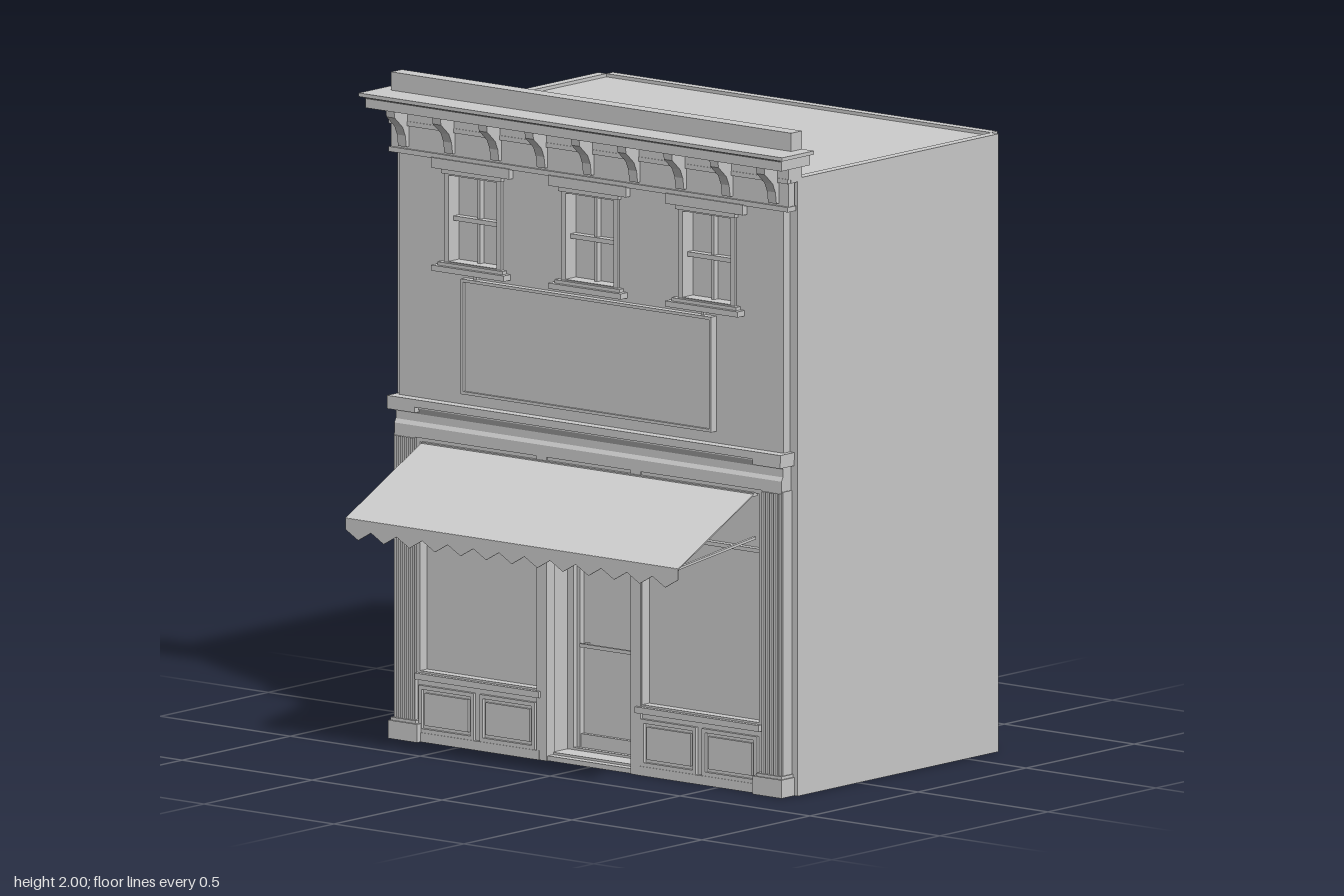
import * as THREE from 'three';

export function createModel() {
  const root = new THREE.Group();
  root.name = 'shopBuilding';
  const grey = new THREE.MeshStandardMaterial({ color: 0xcccccc });
  grey.name = 'plain grey';
  const greyCloth = new THREE.MeshStandardMaterial({ color: 0xcccccc, side: THREE.DoubleSide });
  greyCloth.name = 'plain grey cloth';

  const add = (name, geo, mat = grey) => {
    const m = new THREE.Mesh(geo, mat);
    m.name = name;
    root.add(m);
    return m;
  };
  // Box given by its limits on each axis
  const box = (name, x0, x1, y0, y1, z0, z1) => {
    const g = new THREE.BoxGeometry(x1 - x0, y1 - y0, z1 - z0);
    g.translate((x0 + x1) / 2, (y0 + y1) / 2, (z0 + z1) / 2);
    return add(name, g);
  };
  // Same box on both sides of the model
  const pair = (name, x0, x1, ...r) => {
    box(name + 'Left', x0, x1, ...r);
    box(name + 'Right', -x1, -x0, ...r);
  };
  const rect = (P, x0, x1, y0, y1) => {
    const p = new P();
    p.moveTo(x0, y0); p.lineTo(x1, y0); p.lineTo(x1, y1); p.lineTo(x0, y1); p.closePath();
    return p;
  };
  // Picture-frame shape extruded from z0 to z1
  const frame = (name, x0, x1, y0, y1, t, z0, z1) => {
    const s = rect(THREE.Shape, x0, x1, y0, y1);
    s.holes.push(rect(THREE.Path, x0 + t, x1 - t, y0 + t, y1 - t));
    const g = new THREE.ExtrudeGeometry(s, { depth: z1 - z0, bevelEnabled: false });
    g.translate(0, 0, z0);
    return add(name, g);
  };
  // Profile of [z, y] points swept along x, centred on x
  const sweep = (name, pts, x, width) => {
    const s = new THREE.Shape(pts.map(([z, y]) => new THREE.Vector2(-z, y)));
    const g = new THREE.ExtrudeGeometry(s, { depth: width, bevelEnabled: false });
    g.rotateY(Math.PI / 2);
    g.translate(x - width / 2, 0, 0);
    return add(name, g);
  };

  // Main shell
  pair('sideWall', 0.74, 0.77, 0, 1.86, -0.65, 0.28);
  box('backWall', -0.74, 0.74, 0, 1.86, -0.68, -0.65);
  box('roof', -0.74, 0.74, 1.83, 1.85, -0.65, 0.27);
  box('floor', -0.74, 0.74, 0.012, 0.022, -0.65, 0.29);

  // Front wall with openings for the windows and the shopfront
  const windowX = [-0.45, 0, 0.45];
  const wall = new THREE.Shape();
  [[-0.74, 0], [-0.66, 0], [-0.66, 0.92], [0.66, 0.92], [0.66, 0], [0.74, 0], [0.74, 1.87], [-0.74, 1.87]]
    .forEach(([x, y], i) => (i ? wall.lineTo(x, y) : wall.moveTo(x, y)));
  windowX.forEach((x) => wall.holes.push(rect(THREE.Path, x - 0.11, x + 0.11, 1.44, 1.735)));
  const wallGeo = new THREE.ExtrudeGeometry(wall, { depth: 0.05, bevelEnabled: false });
  wallGeo.translate(0, 0, 0.26);
  add('frontWall', wallGeo);
  box('parapet', -0.77, 0.77, 1.85, 2, 0.26, 0.31);

  // Upper windows
  windowX.forEach((x) => {
    box('windowGlass', x - 0.11, x + 0.11, 1.44, 1.735, 0.262, 0.27);
    frame('windowFrame', x - 0.11, x + 0.11, 1.44, 1.735, 0.018, 0.27, 0.318);
    box('windowMullion', x - 0.005, x + 0.005, 1.455, 1.72, 0.27, 0.288);
    box('windowRail', x - 0.093, x + 0.093, 1.578, 1.592, 0.27, 0.295);
    box('windowSill', x - 0.14, x + 0.14, 1.428, 1.445, 0.3, 0.342);
    box('windowSillApron', x - 0.125, x + 0.125, 1.445, 1.455, 0.3, 0.33);
    box('windowLintel', x - 0.15, x + 0.15, 1.735, 1.766, 0.3, 0.33);
    box('windowLintelLower', x - 0.115, x + 0.115, 1.722, 1.735, 0.3, 0.325);
  });

  // Top cornice with brackets
  box('corniceBand', -0.765, 0.765, 1.775, 1.85, 0.29, 0.316);
  box('corniceBandLowerTrim', -0.768, 0.768, 1.763, 1.778, 0.285, 0.324);
  box('corniceBandUpperTrim', -0.768, 0.768, 1.848, 1.862, 0.285, 0.324);
  box('corniceSoffit', -0.77, 0.77, 1.86, 1.902, 0.28, 0.322);
  sweep('corniceSlab', [[0.26, 1.9], [0.392, 1.9], [0.392, 1.928], [0.405, 1.936],
    [0.405, 1.945], [0.26, 1.945]], 0, 1.6);
  box('corniceCap', -0.815, 0.815, 1.934, 1.945, 0.259, 0.406);
  for (let i = -4; i <= 4; i++) {
    sweep('corniceBracket', [[0.31, 1.785], [0.328, 1.785], [0.333, 1.82], [0.345, 1.847],
      [0.366, 1.866], [0.382, 1.88], [0.385, 1.901], [0.31, 1.901]], i * 0.178, 0.032);
  }

  // Sign board and its hooks
  box('signBoard', -0.475, 0.475, 1.075, 1.41, 0.31, 0.326);
  frame('signBoardRim', -0.482, 0.482, 1.068, 1.415, 0.009, 0.308, 0.334);
  pair('signHook', 0.432, 0.442, 1.41, 1.424, 0.3, 0.322);

  // Shopfront fascia and ledge
  sweep('fascia', [[0.28, 0.915], [0.325, 0.915], [0.325, 0.95], [0.318, 0.962], [0.318, 0.985],
    [0.328, 1.003], [0.328, 1.012], [0.28, 1.012]], 0, 1.49);
  box('fasciaLedge', -0.757, 0.757, 1.01, 1.033, 0.28, 0.345);
  pair('fasciaEndBlock', 0.65, 0.756, 0.993, 1.012, 0.28, 0.345);

  // Fluted pilasters
  pair('pilaster', 0.667, 0.748, 0.05, 0.918, 0.28, 0.322);
  for (let i = 0; i < 5; i++) {
    const x = 0.672 + i * 0.0155;
    pair('pilasterRib', x, x + 0.009, 0.06, 0.912, 0.31, 0.329);
  }
  pair('pilasterBase', 0.645, 0.757, 0, 0.055, 0.28, 0.34);
  pair('pilasterBaseCap', 0.655, 0.752, 0.055, 0.064, 0.28, 0.334);

  // Display windows above panelled bulkheads
  pair('displayGlass', 0.19, 0.66, 0.2, 0.92, 0.275, 0.285);
  [[0.19, 0.665], [-0.665, -0.19]].forEach(([x0, x1]) => {
    frame('displayFrame', x0, x1, 0.2, 0.915, 0.013, 0.28, 0.318);
    box('displayTransomBar', x0, x1, 0.72, 0.732, 0.28, 0.305);
    [x0 + 0.01, (x0 + x1) / 2 + 0.008].forEach((x) => {
      frame('bulkheadPanelRim', x, x + 0.212, 0.028, 0.17, 0.012, 0.29, 0.322);
      box('bulkheadPanel', x + 0.022, x + 0.19, 0.05, 0.148, 0.29, 0.32);
    });
  });
  pair('bulkhead', 0.19, 0.66, 0, 0.195, 0.26, 0.312);
  pair('bulkheadFoot', 0.188, 0.65, 0, 0.028, 0.28, 0.324);
  pair('displaySill', 0.185, 0.662, 0.188, 0.207, 0.27, 0.332);

  // Recessed entrance and door
  pair('entranceSide', 0.165, 0.19, 0, 0.92, 0.18, 0.31);
  pair('entrancePost', 0.162, 0.2, 0, 0.915, 0.285, 0.322);
  box('entranceStep', -0.19, 0.19, 0, 0.015, 0.18, 0.316);
  box('entranceCeiling', -0.17, 0.17, 0.895, 0.92, 0.18, 0.316);
  box('doorBacking', -0.17, 0.17, 0.01, 0.9, 0.18, 0.19);
  frame('doorCasing', -0.166, 0.166, 0.005, 0.9, 0.024, 0.185, 0.22);
  box('doorTransomBar', -0.15, 0.15, 0.67, 0.695, 0.185, 0.22);
  frame('doorLeafFrame', -0.14, 0.14, 0.015, 0.67, 0.013, 0.185, 0.208);
  box('doorKickPlate', -0.128, 0.128, 0.022, 0.07, 0.185, 0.204);
  box('doorPushBar', -0.118, 0.118, 0.334, 0.345, 0.212, 0.222);
  pair('doorPushBarMount', 0.105, 0.115, 0.335, 0.344, 0.185, 0.214);

  // Sloping awning cloth
  const cloth = sweep('awningCloth', [[0.32, 0.9], [0.677, 0.722], [0.677, 0.726], [0.32, 0.904]], 0, 1.28);
  cloth.material = greyCloth;
  // Hanging valance with a zigzag hem
  const hem = new THREE.Shape();
  hem.moveTo(-0.64, 0.725);
  const teeth = 13;
  for (let i = 0; i <= teeth * 2; i++) {
    hem.lineTo(-0.64 + (1.28 * i) / (teeth * 2), i % 2 ? 0.664 : 0.692);
  }
  hem.lineTo(0.64, 0.725);
  const hemGeo = new THREE.ExtrudeGeometry(hem, { depth: 0.003, bevelEnabled: false });
  hemGeo.translate(0, 0, 0.675);
  add('awningValance', hemGeo, greyCloth);
  // Awning support arms and front rail
  [-0.63, 0.63].forEach((x) => {
    sweep('awningArm', [[0.31, 0.762], [0.672, 0.72], [0.672, 0.727], [0.31, 0.77]], x, 0.01);
  });
  box('awningFrontRail', -0.635, 0.635, 0.718, 0.725, 0.667, 0.675);
  box('awningTopRail', -0.64, 0.64, 0.893, 0.904, 0.31, 0.328);

  return root;
}
